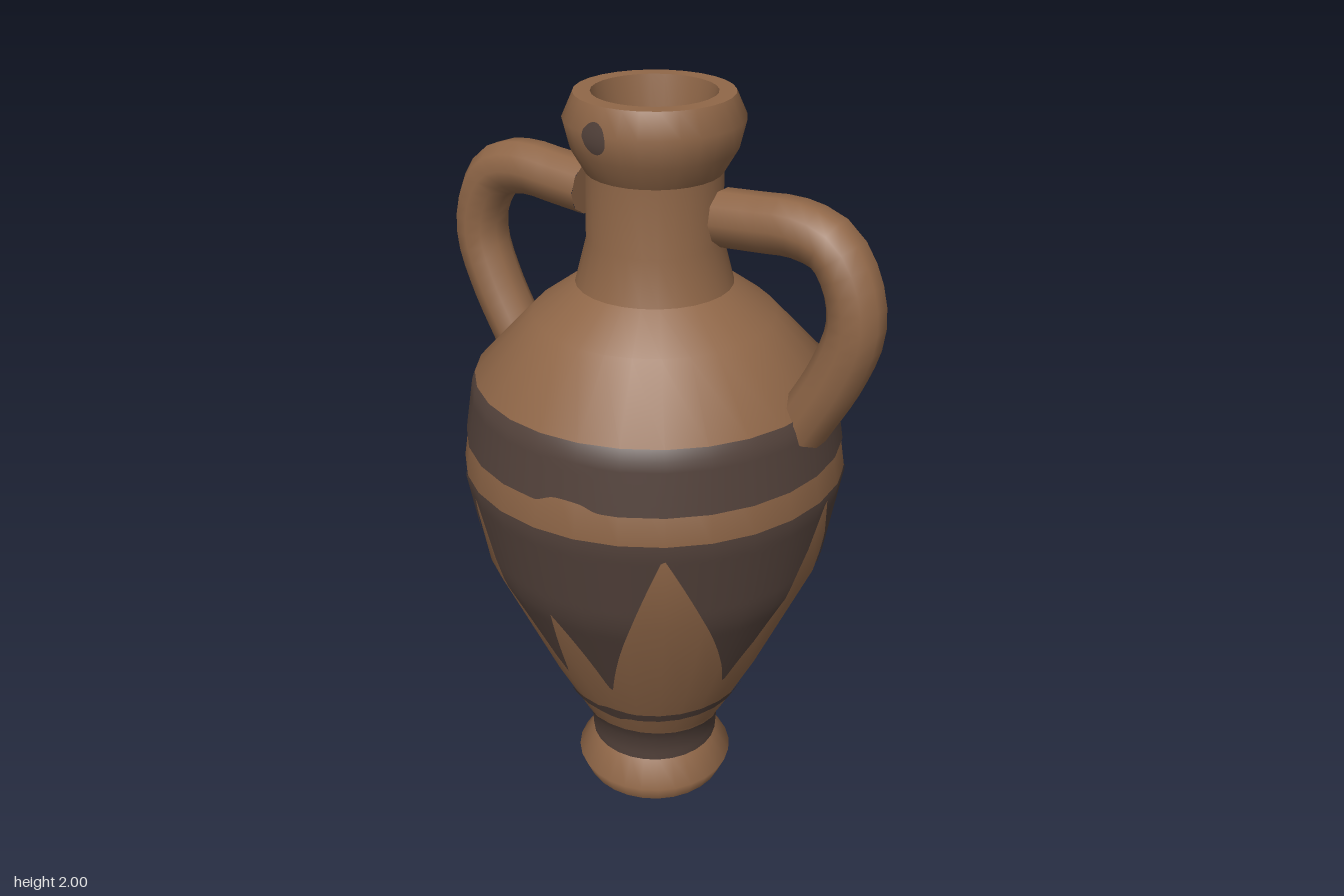
import * as THREE from 'three';

const SEGMENTS = 28;
const STEP = (Math.PI * 2) / SEGMENTS;
const RAD = Math.PI / 180;

// Profiles as [radius, height]
const FOOT = [[0.2, 0], [0.222, 0.05], [0.175, 0.125]];
const BODY = [[0.175, 0.125], [0.18, 0.2], [0.21, 0.25], [0.302, 0.43], [0.455, 0.77],
  [0.503, 1.04], [0.465, 1.28], [0.31, 1.445], [0.2, 1.525]];
const NECK = [[0.2, 1.525], [0.17, 1.64], [0.17, 1.81]];
const LIP = [[0.17, 1.81], [0.205, 1.87], [0.222, 1.94], [0.195, 2]];
const RIM = [[0.195, 2], [0.153, 2]];
const INSIDE = [[0.153, 2], [0.122, 1.82], [0.122, 1.6]];

// Lower edge of the big painted field over half a turn: [degrees, height]
const TEETH = [[-58, 0.51], [-42, 0.78], [-33, 1.0], [-22, 0.76], [-10, 0.47], [0, 0.76], [15, 0.46],
  [29, 0.8], [38, 1.01], [70, 0.47], [96, 1.03], [122, 0.51]];

function sample(points, t) {
  for (let i = 1; i < points.length; i++) {
    const [a, b] = [points[i - 1], points[i]];
    if (t <= b[0]) return a[1] + (b[1] - a[1]) * Math.max(0, (t - a[0]) / (b[0] - a[0]));
  }
  return points[points.length - 1][1];
}

function toothEdge(angle) {
  const deg = ((((angle / RAD + 58) % 180) + 180) % 180) - 58;
  return sample(TEETH, deg);
}

function lathe(name, profile, material) {
  const points = profile.map(([r, y]) => new THREE.Vector2(r, y));
  const mesh = new THREE.Mesh(new THREE.LatheGeometry(points, SEGMENTS), material);
  mesh.name = name;
  return mesh;
}

// Thin painted skin lying on a turned profile, between two heights given by angle
function paint(name, profile, material, { from = 0, to = 360, cols = 280, rows = 8, low, high, inner = false }) {
  const heights = profile.map(([r, y]) => [y, r]).sort((a, b) => a[0] - b[0]);
  const side = inner ? -1 : 1;
  const position = [], normal = [], index = [];
  for (let i = 0; i <= cols; i++) {
    const a = (from + ((to - from) * i) / cols) * RAD;
    const within = ((a % STEP) + STEP) % STEP;
    const flat = Math.cos(STEP / 2) / Math.cos(within - STEP / 2);
    const [y0, y1] = [low(a), high(a)];
    for (let j = 0; j <= rows; j++) {
      const y = y0 + ((y1 - y0) * j) / rows;
      const r = sample(heights, y) * flat + 0.004 * side;
      position.push(Math.sin(a) * r, y, Math.cos(a) * r);
      const slope = (sample(heights, y + 0.05) - sample(heights, y - 0.05)) / 0.1;
      const n = new THREE.Vector3(Math.sin(a), -slope, Math.cos(a)).normalize().multiplyScalar(side);
      normal.push(n.x, n.y, n.z);
      if (i < cols && j < rows) {
        const p = i * (rows + 1) + j, q = p + rows + 1;
        if (inner) index.push(p, p + 1, q, q, p + 1, q + 1);
        else index.push(p, q, p + 1, q, q + 1, p + 1);
      }
    }
  }
  const geometry = new THREE.BufferGeometry();
  geometry.setAttribute('position', new THREE.Float32BufferAttribute(position, 3));
  geometry.setAttribute('normal', new THREE.Float32BufferAttribute(normal, 3));
  geometry.setIndex(index);
  const mesh = new THREE.Mesh(geometry, material);
  mesh.name = name;
  return mesh;
}

function disc(name, radius, y, up, material) {
  const mesh = new THREE.Mesh(new THREE.CircleGeometry(radius, SEGMENTS), material);
  mesh.rotation.x = up ? -Math.PI / 2 : Math.PI / 2;
  mesh.position.y = y;
  mesh.name = name;
  return mesh;
}

// Bent handle with closed ends
function handle(name, side, material) {
  const group = new THREE.Group();
  group.name = name;
  const path = new THREE.CatmullRomCurve3([[0.203, 1.727], [0.3, 1.735], [0.41, 1.742], [0.5, 1.715],
    [0.557, 1.63], [0.571, 1.53], [0.53, 1.405], [0.44, 1.24]]
    .map(([x, y]) => new THREE.Vector3(x * side, y, 0)));
  const tube = new THREE.Mesh(new THREE.TubeGeometry(path, 20, 0.071, 10), material);
  tube.name = name + 'Tube';
  group.add(tube);
  for (const end of [0, 1]) {
    const cap = new THREE.Mesh(new THREE.CircleGeometry(0.071, 10), material);
    const out = path.getTangentAt(end).multiplyScalar(end ? 1 : -1);
    cap.position.copy(path.getPointAt(end));
    cap.quaternion.setFromUnitVectors(new THREE.Vector3(0, 0, 1), out);
    cap.name = name + 'End';
    group.add(cap);
  }
  return group;
}

export function createModel() {
  const clay = new THREE.MeshStandardMaterial({ color: 0x906748 });
  clay.name = 'clay';
  const glaze = new THREE.MeshStandardMaterial({ color: 0x52413a });
  glaze.name = 'darkGlaze';

  const group = new THREE.Group();
  group.name = 'amphora';

  // Turned clay vessel
  group.add(
    disc('base', 0.2, 0, false, clay),
    lathe('foot', FOOT, clay),
    lathe('body', BODY, clay),
    lathe('neck', NECK, clay),
    lathe('lip', LIP, clay),
    lathe('rim', RIM, clay),
    lathe('mouthInside', INSIDE, clay),
    disc('mouthFloor', 0.122, 1.6, true, clay),
  );

  // Handles
  group.add(handle('leftHandle', 1, clay), handle('rightHandle', -1, clay));

  // Painted bands, with a slightly uneven hand-drawn edge
  const drip = (a) => 0.02 * Math.exp(-Math.pow(Math.sin(a - 0.17) / 0.13, 4)) * (Math.cos(a) > 0 ? 1 : 0);
  group.add(
    paint('footBand', BODY, glaze, { rows: 12, low: () => 0.127, high: (a) => 0.247 + 0.008 * Math.cos(2 * a) }),
    paint('thinBand', BODY, glaze, { rows: 3, low: (a) => 0.32 - 0.4 * drip(a), high: (a) => 0.352 + 0.4 * drip(a) }),
    paint('toothedField', BODY, glaze, { rows: 24, low: toothEdge, high: () => 1.045 }),
    paint('shoulderBand', BODY, glaze, { rows: 6, low: (a) => 1.118 + drip(a), high: () => 1.285 }),
  );

  // Small paint marks on the lip
  const spot = (a) => 0.038 * Math.sqrt(Math.max(0, 1 - Math.pow((a / RAD + 4) / 9, 2)));
  group.add(
    paint('lipSpot', LIP, glaze, { from: -13, to: 5, cols: 18, low: (a) => 1.93 - spot(a), high: (a) => 1.93 + spot(a) }),
    paint('innerMark', INSIDE, glaze, {
      from: -15, to: 28, cols: 20, inner: true, low: (a) => 1.84 + 0.12 * Math.abs(a / RAD - 5) / 23, high: () => 1.995,
    }),
  );
  return group;
}
